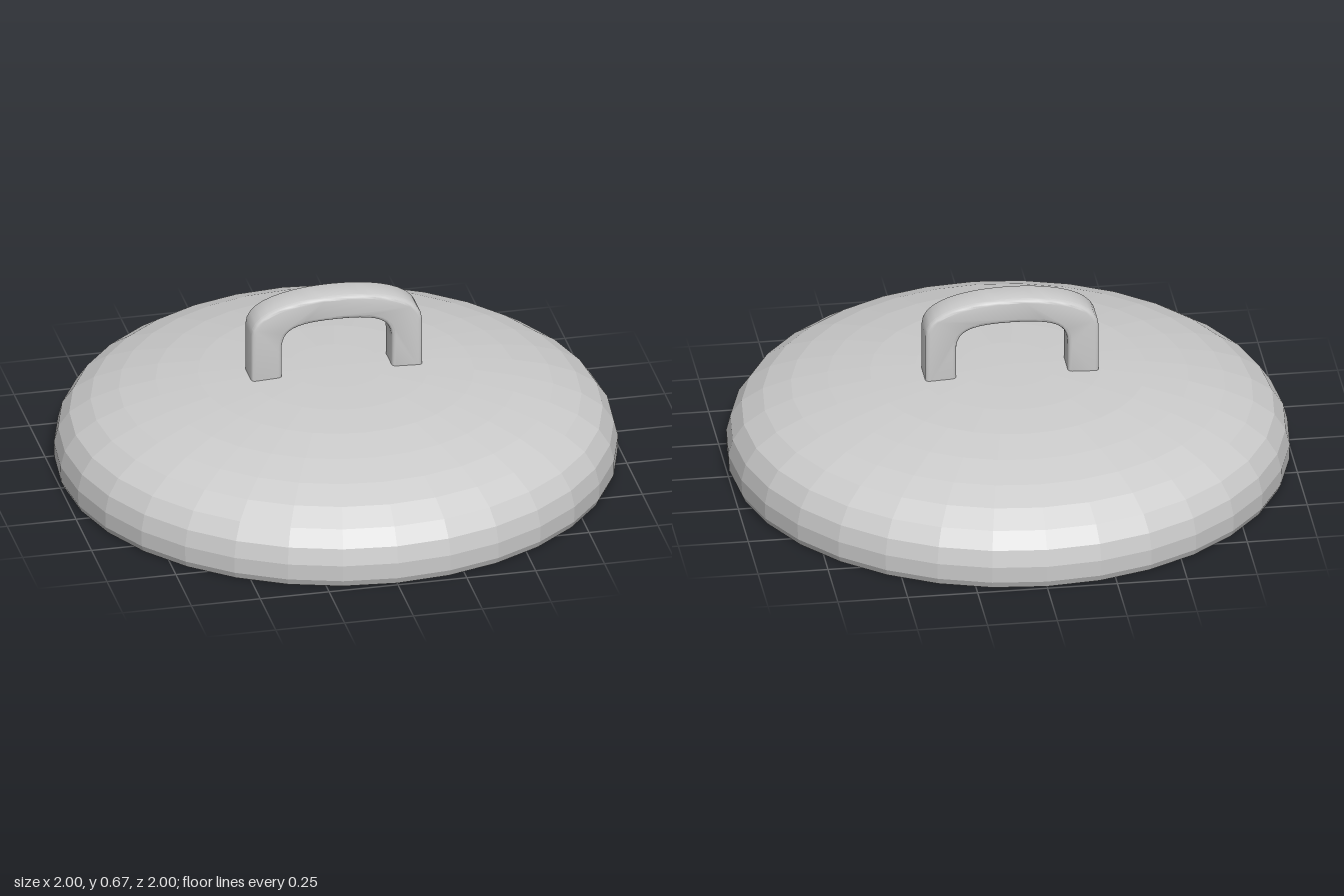
import * as THREE from 'three';
import { toCreasedNormals } from 'three/addons/utils/BufferGeometryUtils.js';

export function createModel() {
  const group = new THREE.Group();
  const add = (name, geometry, flatShading) => {
    const material = new THREE.MeshStandardMaterial({ color: 0xcccccc, flatShading });
    const mesh = new THREE.Mesh(geometry, material);
    mesh.name = name;
    group.add(mesh);
    return mesh;
  };

  // Hollow dome: inner wall from the crown to the rim, then the outer wall back up
  const inner = [
    [0, 0.33], [0.16, 0.328], [0.32, 0.32], [0.47, 0.308], [0.61, 0.288], [0.73, 0.26],
    [0.83, 0.224], [0.9, 0.178], [0.938, 0.12], [0.947, 0.05], [0.935, 0.005],
  ];
  const outer = [
    [0.987, 0.005], [0.998, 0.03], [1, 0.09], [0.985, 0.15], [0.945, 0.209], [0.87, 0.26],
    [0.77, 0.3], [0.64, 0.333], [0.49, 0.358], [0.33, 0.372], [0.17, 0.379], [0, 0.382],
  ];
  const profile = [...inner, ...outer].map(([r, y]) => new THREE.Vector2(r, y));
  add('lidDome', new THREE.LatheGeometry(profile, 32), true);

  // Arched strap handle, softly bevelled along its edges
  const foot = 0.35;
  const arch = new THREE.Shape();
  arch.moveTo(-0.31, foot);
  arch.lineTo(-0.31, 0.55);
  arch.bezierCurveTo(-0.31, 0.64, -0.16, 0.675, 0, 0.675);
  arch.bezierCurveTo(0.16, 0.675, 0.31, 0.64, 0.31, 0.55);
  arch.lineTo(0.31, foot);
  arch.lineTo(0.2, foot);
  arch.lineTo(0.2, 0.48);
  arch.bezierCurveTo(0.2, 0.56, 0.16, 0.583, 0, 0.583);
  arch.bezierCurveTo(-0.16, 0.583, -0.2, 0.56, -0.2, 0.48);
  arch.lineTo(-0.2, foot);
  arch.closePath();

  const bevel = 0.014, width = 0.12;
  const strap = new THREE.ExtrudeGeometry(arch, {
    depth: width - 2 * bevel, curveSegments: 10,
    bevelSize: bevel, bevelThickness: bevel, bevelOffset: -bevel, bevelSegments: 3,
  });
  const handle = add('handle', toCreasedNormals(strap, 0.7), false);
  handle.position.set(-0.005, 0, -0.016 - width / 2 + bevel);

  return group;
}
